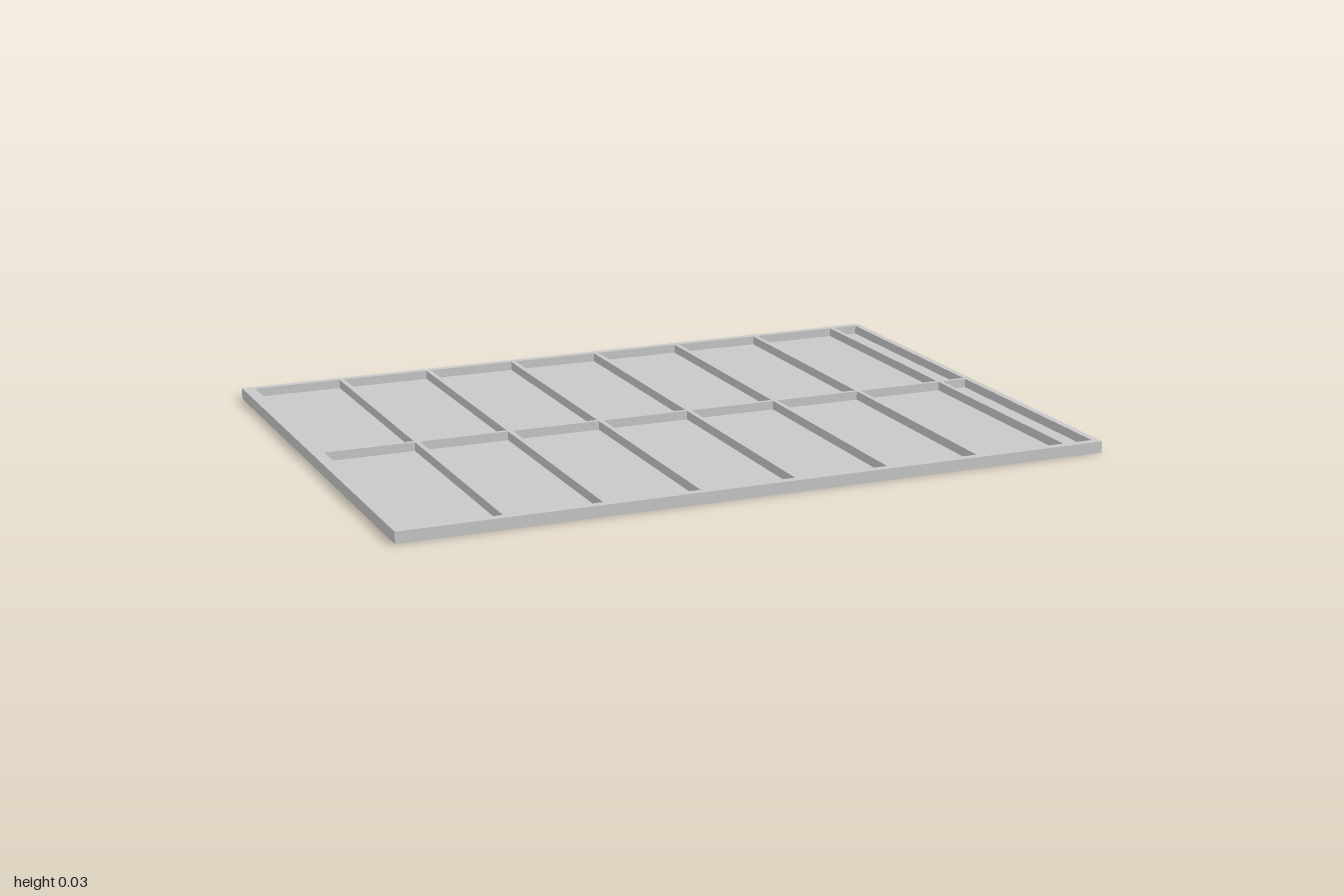
import * as THREE from 'three';

export function createModel() {
  const model = new THREE.Group();
  model.name = 'dividedTray';
  const grey = new THREE.MeshStandardMaterial({ color: 0xc8c8c8 });
  grey.name = 'plain grey';

  const halfX = 1, halfZ = 0.724, height = 0.032, floorHeight = 0.007;
  const pitch = 0.2675, rib = 0.014;     // spacing and width of the cross ribs
  const left = -0.966, right = 0.981;    // inner faces of the rim
  const rows = [[-0.703, -0.008], [0.004, 0.701]]; // z range of the two rows

  // Counter-clockwise rectangle, with z mapped to the shape's -y
  const rectangle = (path, x0, x1, z0, z1) => path
    .moveTo(x0, -z1).lineTo(x1, -z1).lineTo(x1, -z0).lineTo(x0, -z0).closePath();

  // Rim and ribs: one slab with a rectangular opening for each compartment
  const lattice = new THREE.Shape();
  rectangle(lattice, -halfX, halfX, -halfZ, halfZ);
  for (const [z0, z1] of rows) {
    for (let x = left; x < right; x += pitch) {
      const opening = new THREE.Path();
      rectangle(opening, x, Math.min(x + pitch - rib, right), z0, z1);
      lattice.holes.push(opening);
    }
  }
  const latticeGeometry = new THREE.ExtrudeGeometry(lattice, {
    depth: height - floorHeight, bevelEnabled: false,
  });
  latticeGeometry.rotateX(-Math.PI / 2);
  const rimAndRibs = new THREE.Mesh(latticeGeometry, grey);
  rimAndRibs.name = 'rimAndRibs';
  rimAndRibs.position.y = floorHeight;

  // Thin base closing the compartments from below
  const floor = new THREE.Mesh(
    new THREE.BoxGeometry(2 * halfX, floorHeight, 2 * halfZ), grey);
  floor.name = 'floor';
  floor.position.y = floorHeight / 2;

  model.add(rimAndRibs, floor);
  return model;
}
